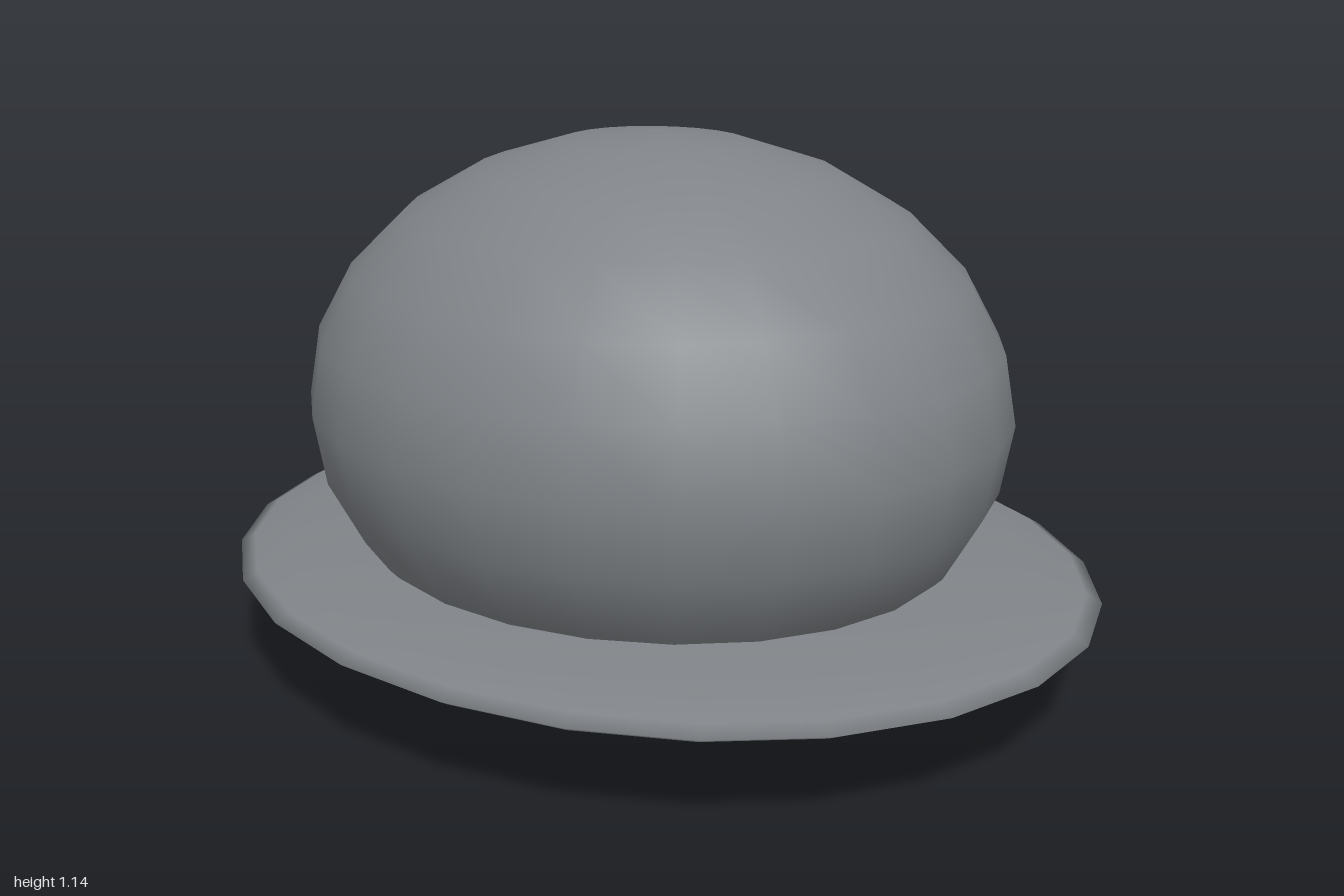
import * as THREE from 'three';

const material = new THREE.MeshStandardMaterial({ color: 0x808488 });

// Smooth ellipsoid with 15 degree facets
function ellipsoid(name, rx, ry, rz, y) {
  const geometry = new THREE.SphereGeometry(1, 24, 12);
  geometry.scale(rx, ry, rz);
  const mesh = new THREE.Mesh(geometry, material);
  mesh.name = name;
  mesh.position.y = y;
  return mesh;
}

export function createModel() {
  const model = new THREE.Group();
  model.name = 'domeWithBrim';
  // Rounded body that passes through the brim
  model.add(ellipsoid('body', 0.785, 0.572, 0.713, 0.572));
  // Thin lens-shaped brim
  model.add(ellipsoid('brim', 1, 0.07, 0.855, 0.215));
  return model;
}
